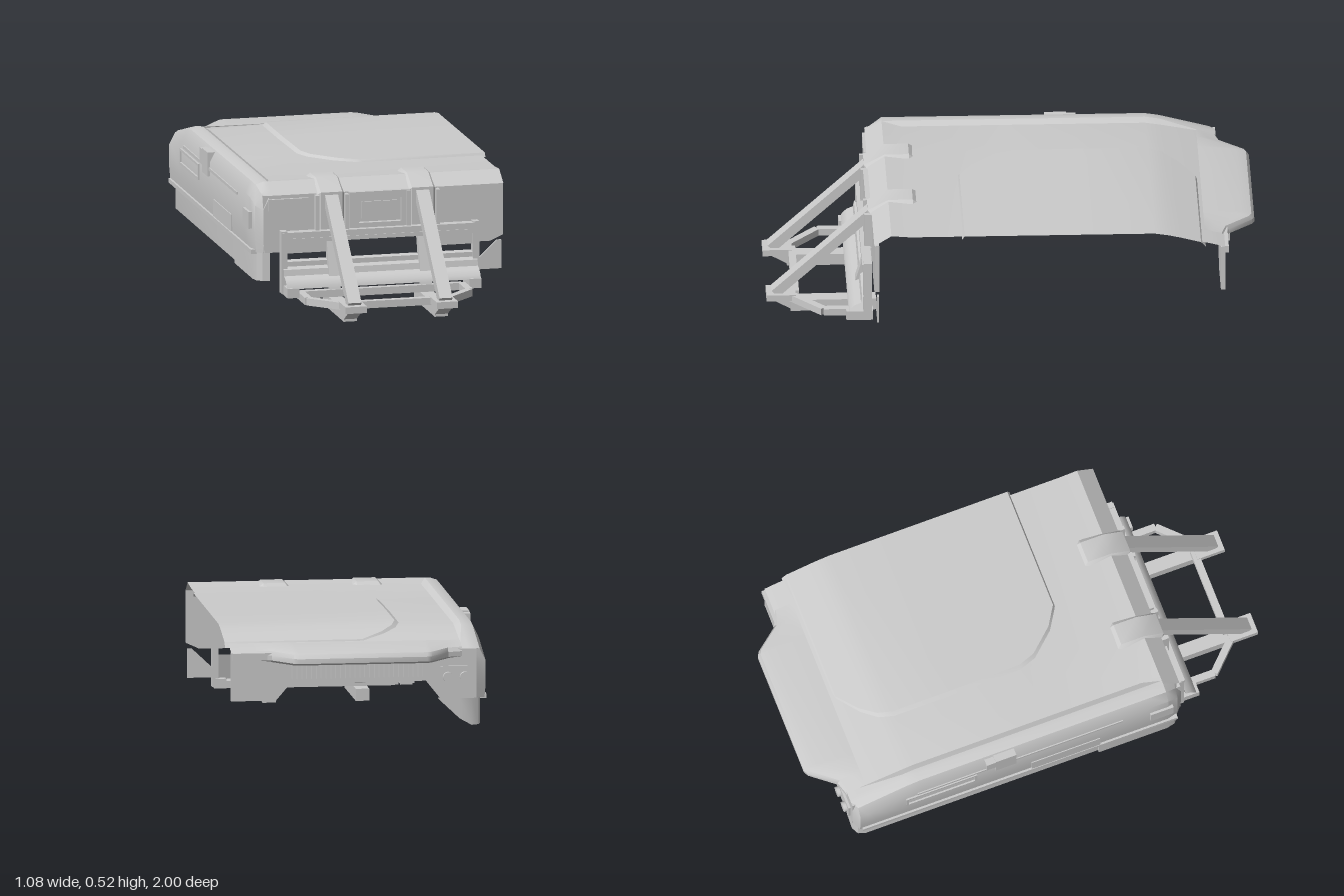
import * as THREE from 'three';
import { toCreasedNormals } from 'three/addons/utils/BufferGeometryUtils.js';

const mat = new THREE.MeshStandardMaterial({ color: 0xcccccc, side: THREE.DoubleSide });

export function createModel() {
  const model = new THREE.Group();

  const add = (name, geometry) => {
    const mesh = new THREE.Mesh(geometry, mat);
    mesh.name = name;
    model.add(mesh);
    return mesh;
  };

  // box given by its x, y and z ranges
  const box = (name, [x0, x1], [y0, y1], [z0, z1]) => {
    const mesh = add(name, new THREE.BoxGeometry(x1 - x0, y1 - y0, z1 - z0));
    mesh.position.set((x0 + x1) / 2, (y0 + y1) / 2, (z0 + z1) / 2);
    return mesh;
  };

  // rectangular bar from point a to point b
  const bar = (name, a, b, w, h) => {
    const p = new THREE.Vector3(...a), q = new THREE.Vector3(...b);
    const mesh = add(name, new THREE.BoxGeometry(w, h, p.distanceTo(q)));
    mesh.position.copy(p).lerp(q, 0.5);
    mesh.lookAt(q);
    return mesh;
  };

  // skin over a row of equal-length cross-sections
  const loft = (name, rows) => {
    const pos = [];
    for (let i = 0; i < rows.length - 1; i++) {
      for (let j = 0; j < rows[i].length - 1; j++) {
        const [a, b, c, d] = [rows[i][j], rows[i][j + 1], rows[i + 1][j + 1], rows[i + 1][j]];
        pos.push(...a, ...b, ...c, ...a, ...c, ...d);
      }
    }
    const g = new THREE.BufferGeometry();
    g.setAttribute('position', new THREE.Float32BufferAttribute(pos, 3));
    return add(name, toCreasedNormals(g, 0.5));
  };

  // flat upright plate in the xy plane
  const plate = (name, points, z, depth, holes = []) => {
    const shape = new THREE.Shape(points.map(p => new THREE.Vector2(...p)));
    for (const h of holes) shape.holes.push(new THREE.Path(h.map(p => new THREE.Vector2(...p))));
    const mesh = add(name, new THREE.ExtrudeGeometry(shape, { depth, bevelEnabled: false }));
    mesh.position.z = z;
    return mesh;
  };
  const rect = (x0, x1, y0, y1) => [[x0, y0], [x1, y0], [x1, y1], [x0, y1]];

  // roof height along z
  const profile = [[0.57, 0.475], [0.5, 0.52], [0.42, 0.52], [-0.58, 0.515], [-0.64, 0.505], [-0.82, 0.455], [-0.87, 0.44]];
  const roofY = z => {
    for (let i = 1; i < profile.length; i++) {
      const [z0, y0] = profile[i - 1], [z1, y1] = profile[i];
      if (z >= z1) return y0 + (y1 - y0) * (z - z0) / (z1 - z0);
    }
    return 0.44;
  };

  // shell: closed right wall, rim and roof, open on the left and below
  loft('hullShell', [0.57, 0.545, 0.5, 0.42, 0.0, -0.58, -0.64, -0.82, -0.85, -0.87].map(z => {
    const y = roofY(z), inset = z > 0.56 || z < -0.86 ? 0.04 : z > 0.54 ? 0.012 : 0;
    const dip = z < 0.45 && z > -0.8 ? 0.014 : 0;
    return [[-0.525 + inset, 0.235, z], [-0.53 + inset, 0.29, z], [-0.53 + inset, y - 0.06, z],
      [-0.505 + inset, y - 0.01, z], [-0.475, y, z], [-0.455, y, z], [-0.43, y - dip, z],
      [-0.2, y - dip / 2, z], [0.525, y - dip / 2, z]];
  }));

  // raised roof panel with cut corners, running off the open side
  loft('roofPanel', [[0.21, 0.02], [0.2, 0], [0.15, -0.08], [0.05, -0.17], [-0.02, -0.195], [-0.3, -0.2], [-0.58, -0.2],
    [-0.64, -0.18], [-0.7, -0.13], [-0.77, -0.04], [-0.79, 0.02]].map(([z, x], i, all) => {
    const end = i === 0 || i === all.length - 1, y = roofY(z);
    return [[x - 0.015, y - 0.013, z], [x + 0.012, y + (end ? -0.013 : 0.003), z], [0.54, y + (end ? -0.013 : 0.003), z]];
  }));

  // front wall, cut higher in the middle
  plate('frontWall', [[-0.49, 0.235], [-0.27, 0.235], [-0.24, 0.29], [0.24, 0.29], [0.29, 0.235],
    [0.47, 0.235], [0.525, 0.26], [0.525, 0.475], [-0.49, 0.475]], 0.55, 0.018);
  plate('frontSkirtTab', [[0.41, 0.115], [0.52, 0.115], [0.52, 0.235], [0.5, 0.235], [0.41, 0.15]], 0.55, 0.008);

  // rear wall, cut higher below the overhang
  plate('rearWall', [[-0.49, 0.235], [-0.34, 0.235], [-0.28, 0.31], [0.28, 0.31], [0.34, 0.24],
    [0.525, 0.24], [0.525, 0.44], [-0.49, 0.44]], -0.87, 0.018);

  // tapered overhang across the rear
  loft('rearOverhang', [[-0.43, -0.872], [-0.37, -0.89], [-0.29, -0.99], [-0.27, -1], [0.26, -1],
    [0.28, -0.99], [0.36, -0.89], [0.42, -0.872]].map(([x, z]) =>
    [[x, 0.465, -0.79], [x, 0.457, z + 0.055], [x, 0.447, z + 0.012], [x, 0.43, z], [x, 0.41, z],
      [x, 0.4, z + 0.025], [x, 0.395, -0.83]]));
  for (let i = 0; i < 28; i++) {
    const x = -0.27 + i * 0.02;
    box('rearGrilleSlat', [x - 0.005, x + 0.005], [0.33, 0.4], [-0.9, -0.865]);
  }
  box('rearLampPanel', [-0.47, -0.34], [0.28, 0.37], [-0.88, -0.865]);
  for (const x of [-0.44, -0.37]) {
    const lamp = add('rearLamp', new THREE.CylinderGeometry(0.022, 0.022, 0.02, 16));
    lamp.rotation.x = Math.PI / 2;
    lamp.position.set(x, 0.325, -0.885);
  }
  box('rearLeftLedge', [0.36, 0.52], [0.41, 0.44], [-0.885, -0.85]);
  box('rearUndersideBox', [-0.14, 0.14], [0.33, 0.42], [-0.85, -0.78]);

  // lower skirt wrapping round the right side
  loft('skirt', [[-0.46, 0.56, 0.115], [-0.49, 0.553, 0.115], [-0.51, 0.535, 0.115], [-0.518, 0.5, 0.115],
    [-0.518, 0.2, 0.115], [-0.51, 0.2, 0.122], [-0.51, -0.82, 0.122], [-0.5, -0.85, 0.122],
    [-0.47, -0.865, 0.122], [-0.42, -0.866, 0.15], [-0.33, -0.866, 0.235]].map(([x, z, y]) => [[x, y, z], [x, 0.238, z]]));

  // right wall details
  box('sideLowerRail', [-0.535, -0.51], [0.228, 0.246], [-0.84, 0.54]);
  box('sideUpperRail', [-0.535, -0.52], [0.425, 0.437], [-0.6, 0.3]);
  box('sideStep', [-0.534, -0.52], [0.25, 0.32], [-0.1, 0.2]);
  for (const y of [0.352, 0.41]) box('sideSlotFrame', [-0.537, -0.52], [y - 0.005, y + 0.005], [-0.65, -0.34]);
  for (const z of [-0.645, -0.345]) box('sideSlotFrame', [-0.537, -0.52], [0.352, 0.41], [z - 0.005, z + 0.005]);
  box('sideLatch', [-0.54, -0.5], [0.4, 0.5], [-0.26, -0.17]);
  box('sideLatchTail', [-0.54, -0.5], [0.44, 0.495], [-0.3, -0.26]);
  box('sideCornerBlock', [-0.54, -0.5], [0.33, 0.4], [0.42, 0.52]);
  box('cornerLamp', [-0.47, -0.3], [0.41, 0.46], [0.56, 0.58]);

  // front centre recess frame and block
  plate('centreFrame', rect(-0.13, 0.13, 0.31, 0.475), 0.565, 0.025, [rect(-0.09, 0.09, 0.345, 0.445)]);
  box('centreBlock', [-0.075, 0.075], [0.36, 0.43], [0.54, 0.575]);

  // paired arm housings, arms, feet and ground rails
  for (const s of [-1, 1]) {
    const x = s < 0 ? -0.205 : 0.18;
    loft('armHousing', [-0.06, -0.045, 0.045, 0.06].map((dx, i) => {
      const d = i % 3 ? 0 : 0.012;
      return [[x + dx, 0.5, 0.37], [x + dx, 0.525 - d, 0.4], [x + dx, 0.525 - d, 0.5],
        [x + dx, 0.48 - d, 0.585 - d], [x + dx, 0.32, 0.585 - d], [x + dx, 0.32, 0.55]];
    }));
    for (const dx of [-0.062, 0.062]) box('housingCheek', [x + dx - 0.008, x + dx + 0.008], [0.32, 0.47], [0.54, 0.6]);
    bar('frontArm', [x, 0.46, 0.565], [x, 0.085, 0.965], 0.055, 0.04);
    box('armFoot', [x - 0.045, x + 0.045], [0.06, 0.088], [0.88, 1]);
    box('groundRail', [x - 0.028, x + 0.028], [0.005, 0.055], [0.55, 0.9]);
    bar('railNose', [x, 0.03, 0.89], [x, 0.07, 0.96], 0.055, 0.035);
    bar('armBrace', [x, 0.29, 0.575], [x, 0.07, 0.64], 0.045, 0.03);

    // side pieces of the lower ring
    const ring = [[0.34, 0.07, 0.64], [0.34, 0.07, 0.77], [0.21, 0.07, 0.9]].map(([a, b, c]) => [s * a - 0.01, b, c]);
    bar('ringSide', ring[0], ring[1], 0.03, 0.03);
    bar('ringCorner', ring[1], ring[2], 0.03, 0.03);

    // blade end posts
    box('bladeEndPost', [s * 0.405 - 0.018, s * 0.405 + 0.008], [0.07, 0.33], [0.575, 0.61]);
    box('bladeEndFoot', [s * 0.385 - 0.03, s * 0.385 + 0.02], [0.065, 0.105], [0.57, 0.68]);
  }
  bar('ringFront', [-0.2, 0.07, 0.88], [0.18, 0.07, 0.88], 0.03, 0.03);
  bar('ringRear', [-0.35, 0.07, 0.64], [0.33, 0.07, 0.64], 0.03, 0.03);

  // cross blade with an open band above its ribbed lower face
  loft('lowerBlade', [-0.415, 0.405].map(x => [[0.205, 0.575], [0.2, 0.6], [0.18, 0.6], [0.17, 0.615], [0.145, 0.62],
    [0.135, 0.645], [0.115, 0.665], [0.1, 0.67], [0.1, 0.6], [0.205, 0.575]].map(([y, z]) => [x, y, z])));
  box('bladeTopRail', [-0.42, 0.41], [0.3, 0.325], [0.575, 0.615]);
  box('bladeMiddleRail', [-0.42, 0.41], [0.28, 0.297], [0.58, 0.605]);
  for (const [x0, x1] of [[-0.41, -0.23], [0.21, 0.4]]) box('bladeSidePlate', [x0, x1], [0.235, 0.285], [0.58, 0.598]);

  return model;
}
